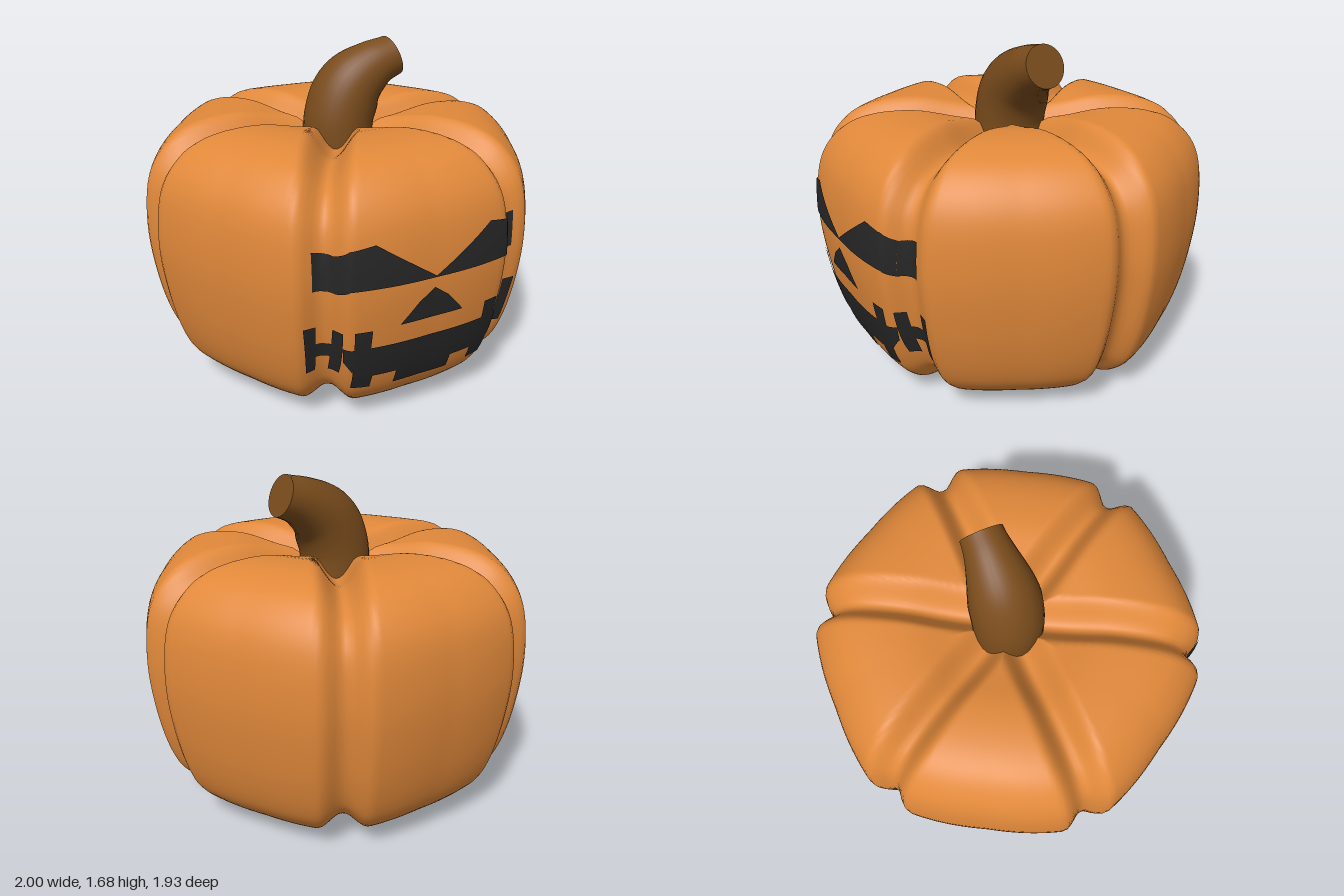
import * as THREE from 'three';
import { mergeVertices } from 'three/addons/utils/BufferGeometryUtils.js';

const V2 = (x, y) => new THREE.Vector2(x, y);
const V3 = (x, y, z) => new THREE.Vector3(x, y, z);

// Lobe profile (radius, height) from bottom centre to top centre
const profile = new THREE.SplineCurve([
  [0, 0.05], [0.2, 0.035], [0.45, 0], [0.68, 0.04], [0.83, 0.15], [0.91, 0.28], [0.97, 0.51],
  [1, 0.8], [0.97, 1.07], [0.87, 1.23], [0.72, 1.31], [0.5, 1.33], [0.27, 1.29], [0, 1.27],
].map(([r, y]) => V2(r, y)));

const SECTOR = Math.PI / 3;
const GROOVE_WIDTH = 0.13;

// Point on the six-lobed skin; grooves are pressed in along the profile normal
function skin(theta, t, lift = 0) {
  const p = profile.getPoint(t);
  const tan = profile.getTangent(t);
  const atPole = t <= 0 || t >= 1;
  const nr = atPole ? 0 : tan.y;
  const ny = atPole ? Math.sign(t - 0.5) : -tan.x;
  const m = ((theta % SECTOR) + SECTOR) % SECTOR;
  const phi = Math.min(m, SECTOR - m);
  const plan = 0.962 + 0.07 * Math.pow(phi / (SECTOR / 2), 1.5);
  const d = Math.min(1, (p.x * plan * Math.sin(SECTOR / 2 - phi)) / GROOVE_WIDTH);
  const depth = 0.085 + 0.035 * Math.max(0, ny);
  const inset = lift - depth * 0.5 * (1 + Math.cos(Math.PI * d));
  const r = Math.max(0, p.x * plan + nr * inset);
  return V3(r * Math.sin(theta), p.y + ny * inset, r * Math.cos(theta));
}

// Skin point seen from the front at (x, y), found by bisection
function projectToFront(x, y, lift) {
  let a = -1.1, b = 1.1, point;
  for (let i = 0; i < 26; i++) {
    const theta = (a + b) / 2;
    let lo = 0.2, hi = 0.72;
    for (let k = 0; k < 22; k++) {
      const t = (lo + hi) / 2;
      point = skin(theta, t, lift);
      if (point.y < y) lo = t; else hi = t;
    }
    if (point.x < x) a = theta; else b = theta;
  }
  return point;
}

function gridGeometry(rows, cols, closed, at) {
  const pos = [], index = [];
  const stride = closed ? cols : cols + 1;
  for (let i = 0; i <= rows; i++)
    for (let j = 0; j < stride; j++) pos.push(...at(i / rows, j / cols).toArray());
  for (let i = 0; i < rows; i++)
    for (let j = 0; j < cols; j++) {
      const k = (j + 1) % stride;
      const a = i * stride + j, b = i * stride + k, c = a + stride, e = b + stride;
      index.push(a, b, e, a, e, c);
    }
  let g = new THREE.BufferGeometry();
  g.setAttribute('position', new THREE.Float32BufferAttribute(pos, 3));
  g.setIndex(index);
  g = mergeVertices(g, 1e-5);
  g.computeVertexNormals();
  return g;
}

// Dark patch: corners [topLeft, topRight, bottomRight, bottomLeft] laid on the skin
function patchGeometry([tl, tr, br, bl]) {
  const cols = Math.max(2, Math.ceil((Math.max(tr[0], br[0]) - Math.min(tl[0], bl[0])) / 0.012));
  const rows = Math.max(2, Math.ceil((Math.max(tl[1], tr[1]) - Math.min(bl[1], br[1])) / 0.05));
  const mix = THREE.MathUtils.lerp;
  return gridGeometry(rows, cols, false, (v, u) => projectToFront(
    mix(mix(bl[0], br[0], u), mix(tl[0], tr[0], u), v),
    mix(mix(bl[1], br[1], u), mix(tl[1], tr[1], u), v), 0.006));
}

const mirrorQuad = (q) => [q[1], q[0], q[3], q[2]].map(([x, y]) => [-x, y]);
// Neighbouring columns between stations [x, top, bottom]
const strip = (s) => s.slice(1).map((e, i) => [[s[i][0], s[i][1]], [e[0], e[1]], [e[0], e[2]], [s[i][0], s[i][2]]]);
const bar = (x0, x1, top, bottom) => [[x0, top], [x1, top], [x1, bottom], [x0, bottom]];

function stemParts(material) {
  const path = new THREE.CatmullRomCurve3([
    V3(0, 1.1, 0), V3(0.005, 1.29, 0), V3(0.07, 1.44, 0), V3(0.19, 1.53, 0), V3(0.31, 1.575, 0),
  ]);
  const rings = 32, sides = 32;
  const radius = (u) => 0.18 - 0.073 * THREE.MathUtils.smoothstep(u, 0.42, 1.02);
  const tube = new THREE.TubeGeometry(path, rings, 1, sides);
  const pos = tube.attributes.position, v = V3();
  for (let i = 0; i <= rings; i++) {
    const c = path.getPointAt(i / rings);
    for (let j = 0; j <= sides; j++) {
      const k = i * (sides + 1) + j;
      v.fromBufferAttribute(pos, k).sub(c).multiplyScalar(radius(i / rings)).add(c);
      pos.setXYZ(k, v.x, v.y, v.z);
    }
  }
  const stem = new THREE.Mesh(tube, material);
  stem.name = 'stem';
  const cap = new THREE.Mesh(new THREE.CircleGeometry(radius(1), sides), material);
  cap.name = 'stemCutEnd';
  cap.position.copy(path.getPointAt(1));
  cap.quaternion.setFromUnitVectors(V3(0, 0, 1), path.getTangentAt(1));
  return [stem, cap];
}

export function createModel() {
  const group = new THREE.Group();
  group.name = 'carvedPumpkin';
  const orange = new THREE.MeshStandardMaterial({ color: 0xe0883a });
  const brown = new THREE.MeshStandardMaterial({ color: 0x7a4c1c });
  const black = new THREE.MeshStandardMaterial({ color: 0x262626 });

  // Body
  const body = new THREE.Mesh(
    gridGeometry(78, 240, true, (v, u) => skin(u * Math.PI * 2, v)), orange);
  body.name = 'pumpkinBody';
  group.add(body);

  // Stem
  group.add(...stemParts(brown));

  // Face
  const addFeature = (name, quads) => {
    const part = new THREE.Group();
    part.name = name;
    quads.forEach((q) => {
      const mesh = new THREE.Mesh(patchGeometry(q), black);
      mesh.name = name + 'Patch';
      part.add(mesh);
    });
    group.add(part);
  };
  const eye = strip([[0, 0.81, 0.803], [0.29, 1.003, 0.805], [0.4, 0.985, 0.805],
    [0.44, 0.945, 0.777], [0.525, 0.96, 0.78]]);
  addFeature('leftEye', eye);
  addFeature('rightEye', eye.map(mirrorQuad));
  addFeature('nose', strip([[-0.165, 0.602, 0.6], [-0.08, 0.7, 0.6], [-0.005, 0.755, 0.6],
    [0.07, 0.7, 0.6], [0.157, 0.602, 0.6]]));
  const halfMouth = [
    bar(0, 0.147, 0.5, 0.245),
    bar(0.147, 0.265, 0.5, 0.325),
    [[0.265, 0.5], [0.295, 0.5], [0.295, 0.252], [0.265, 0.25]],
    [[0.295, 0.595], [0.375, 0.595], [0.355, 0.26], [0.295, 0.252]],
    [[0.367, 0.5], [0.41, 0.5], [0.4, 0.42], [0.362, 0.36]],
    [[0.415, 0.585], [0.44, 0.585], [0.43, 0.34], [0.4, 0.34]],
    bar(0.425, 0.515, 0.5, 0.425),
    [[0.505, 0.595], [0.567, 0.6], [0.535, 0.34], [0.488, 0.345]],
  ];
  addFeature('mouthLeft', halfMouth);
  addFeature('mouthRight', halfMouth.map(mirrorQuad));
  return group;
}
